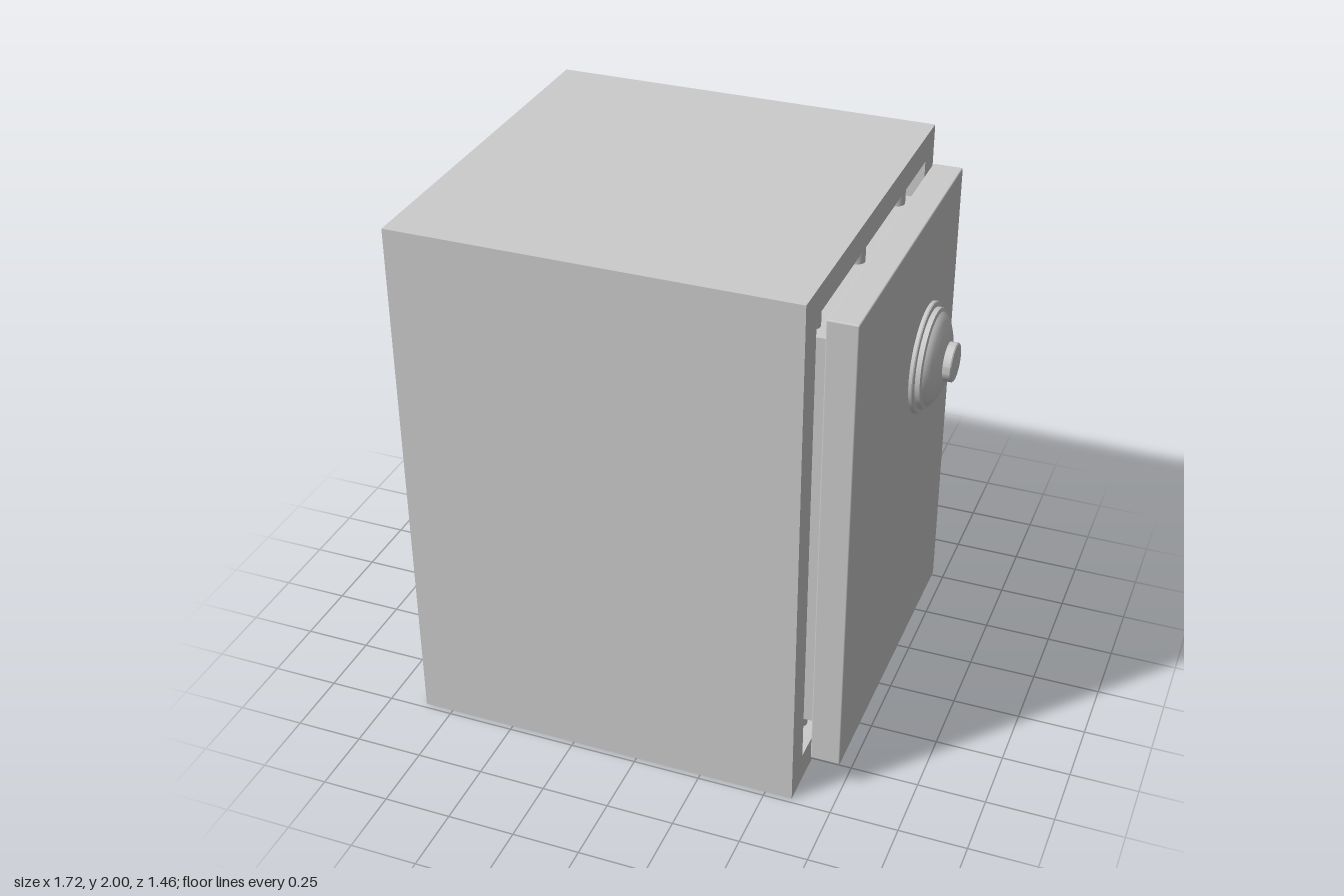
import * as THREE from 'three';
import { RoundedBoxGeometry } from 'three/addons/geometries/RoundedBoxGeometry.js';
import { toCreasedNormals } from 'three/addons/utils/BufferGeometryUtils.js';

const material = new THREE.MeshStandardMaterial({ color: 0xcccccc });

function add(parent, name, geometry, x = 0, y = 0, z = 0) {
  const mesh = new THREE.Mesh(geometry, material);
  mesh.name = name;
  mesh.position.set(x, y, z);
  parent.add(mesh);
  return mesh;
}

// Rectangle outline in the z-y plane of the door
function rect(path, halfWidth, bottom, top) {
  path.moveTo(-halfWidth, bottom);
  path.lineTo(halfWidth, bottom);
  path.lineTo(halfWidth, top);
  path.lineTo(-halfWidth, top);
  path.closePath();
  return path;
}

export function createModel() {
  const safe = new THREE.Group();
  safe.name = 'safe';

  // Solid rear of the cabinet, then a frame around the door recess
  const recess = 0.13;
  const rearWidth = 1.46 - recess;
  add(safe, 'cabinet', new THREE.BoxGeometry(rearWidth, 2, 1.46), -0.86 + rearWidth / 2, 1, 0);
  const outline = rect(new THREE.Shape(), 0.73, 0, 2);
  outline.holes.push(rect(new THREE.Path(), 0.62, 0.11, 1.9));
  const frame = new THREE.ExtrudeGeometry(outline, { depth: recess, bevelEnabled: false });
  frame.rotateY(Math.PI / 2);
  add(safe, 'doorFrame', frame, 0.6 - recess, 0, 0);

  // Door slab with the narrower plug behind it
  const door = new THREE.Group();
  door.name = 'door';
  safe.add(door);
  add(door, 'doorSlab', new RoundedBoxGeometry(0.11, 1.79, 1.24, 2, 0.006), 0.685, 1.005, 0);
  add(door, 'doorPlug', new THREE.BoxGeometry(0.145, 1.57, 1.1), 0.5575, 1.005, 0);

  // Locking bolts above and below the plug
  const bolt = new THREE.CylinderGeometry(0.03, 0.03, 0.08, 20);
  for (const z of [-0.48, 0, 0.48]) {
    for (const side of [-1, 1]) {
      add(door, 'lockingBolt', bolt, 0.54, 1.005 + side * 0.825, z);
    }
  }

  // Stepped, domed dial with a small central knob
  const profile = [
    [0, 0], [0.205, 0], [0.205, 0.012], [0.202, 0.016], [0.186, 0.018],
    [0.186, 0.036], [0.172, 0.04], [0.165, 0.05], [0.148, 0.062],
    [0.122, 0.073], [0.083, 0.084], [0.072, 0.085],
    [0.072, 0.113], [0.068, 0.117], [0, 0.117],
  ].map(([r, h]) => new THREE.Vector2(r, h));
  const dial = toCreasedNormals(new THREE.LatheGeometry(profile, 48), 0.5);
  add(door, 'dial', dial, 0.74, 1.33, -0.23).rotation.z = -Math.PI / 2;

  return safe;
}
